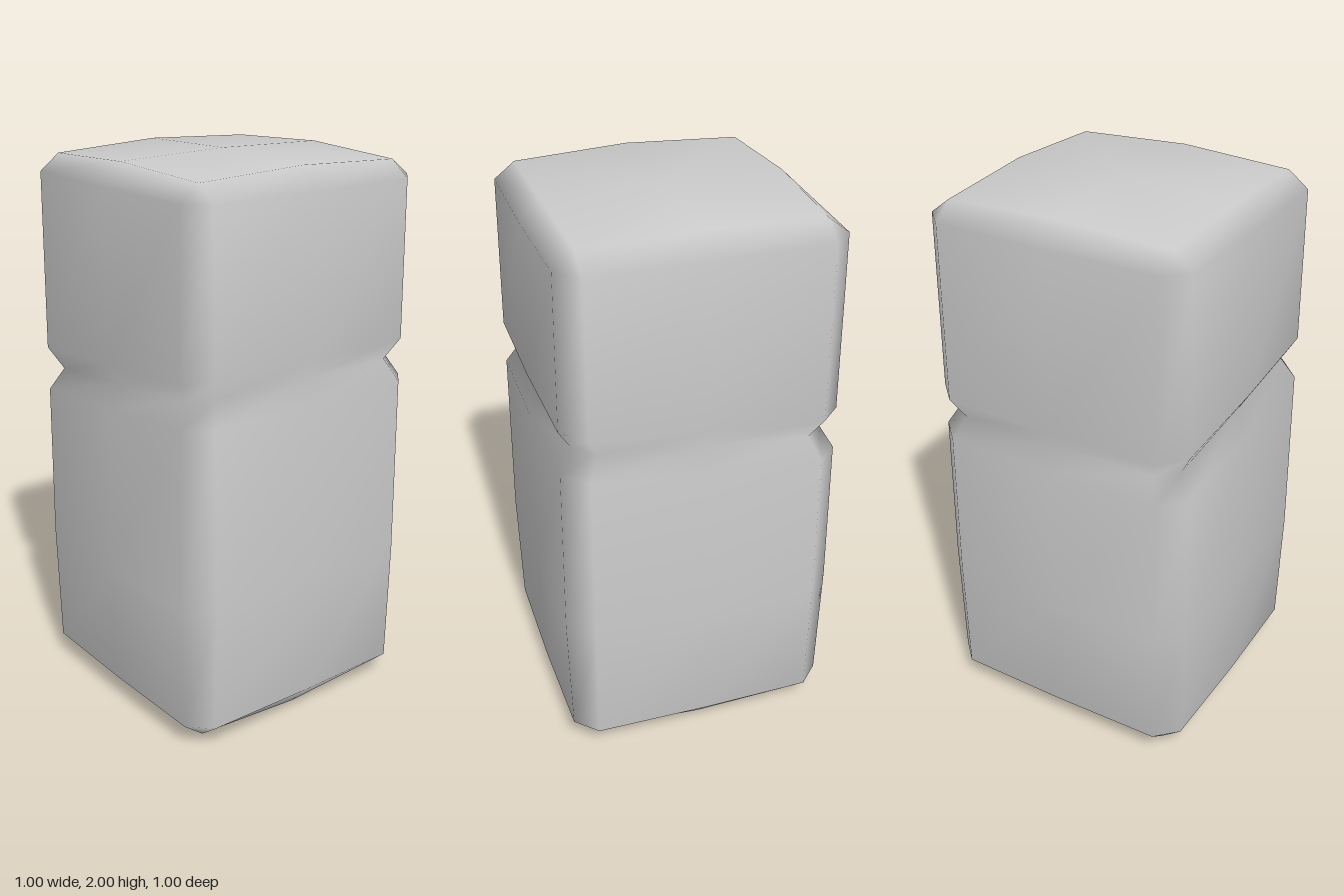
import * as THREE from 'three';
import { mergeVertices } from 'three/addons/utils/BufferGeometryUtils.js';

// Chamfered square outline with slightly bulging sides: m = mid, f = face, c = corner cut
function outline(m, f, c) {
  const quarter = [[m, 0], [f, -c], [c, -f]];
  const pts = [];
  for (let q = 0; q < 4; q++) {
    for (const [x, z] of quarter) {
      let p = [x, z];
      for (let k = 0; k < q; k++) p = [p[1], -p[0]]; // quarter turn from +x towards -z
      pts.push(p);
    }
  }
  return pts;
}

export function createModel() {
  const group = new THREE.Group();
  group.name = 'stonePillar';

  // Rings from bottom to top: height, outline sizes, slope along x, drop at corners
  const rings = [
    { y: 0.01, o: [0.42, 0.41, 0.41], drop: 0.02 },
    { y: 0.09, o: [0.492, 0.486, 0.41] },
    { y: 0.55, o: [0.5, 0.497, 0.41] },
    { y: 1.155, o: [0.497, 0.49, 0.41], slope: 0.09 },  // lower lip of groove
    { y: 1.235, o: [0.45, 0.445, 0.375], slope: 0.1 },  // groove bottom
    { y: 1.315, o: [0.497, 0.49, 0.41], slope: 0.09 },  // upper lip of groove
    { y: 1.915, o: [0.49, 0.484, 0.41] },
    { y: 1.99, o: [0.42, 0.41, 0.41], drop: -0.018 },
  ];

  const pos = [], index = [], n = 12;
  for (const { y, o, slope = 0, drop = 0 } of rings) {
    outline(...o).forEach(([x, z], j) => {
      pos.push(x, y + slope * x + (j % 3 ? drop : 0), z);
    });
  }
  const bottom = rings.length * n, top = bottom + 1;
  pos.push(0, 0, 0, 0, 2, 0);

  // Walls
  for (let i = 0; i < rings.length - 1; i++) {
    for (let j = 0; j < n; j++) {
      const k = (j + 1) % n, a = i * n + j, b = i * n + k;
      index.push(a, b, b + n, a, b + n, a + n);
    }
  }
  // Domed caps
  const last = (rings.length - 1) * n;
  for (let j = 0; j < n; j++) {
    const k = (j + 1) % n;
    index.push(k, j, bottom, last + j, last + k, top);
  }

  let geo = new THREE.BufferGeometry();
  geo.setAttribute('position', new THREE.Float32BufferAttribute(pos, 3));
  geo.setIndex(index);
  geo = mergeVertices(geo, 1e-4);
  geo.computeVertexNormals();

  const mesh = new THREE.Mesh(geo, new THREE.MeshStandardMaterial({ color: 0xcccccc }));
  mesh.name = 'groovedBlock';
  group.add(mesh);
  return group;
}
